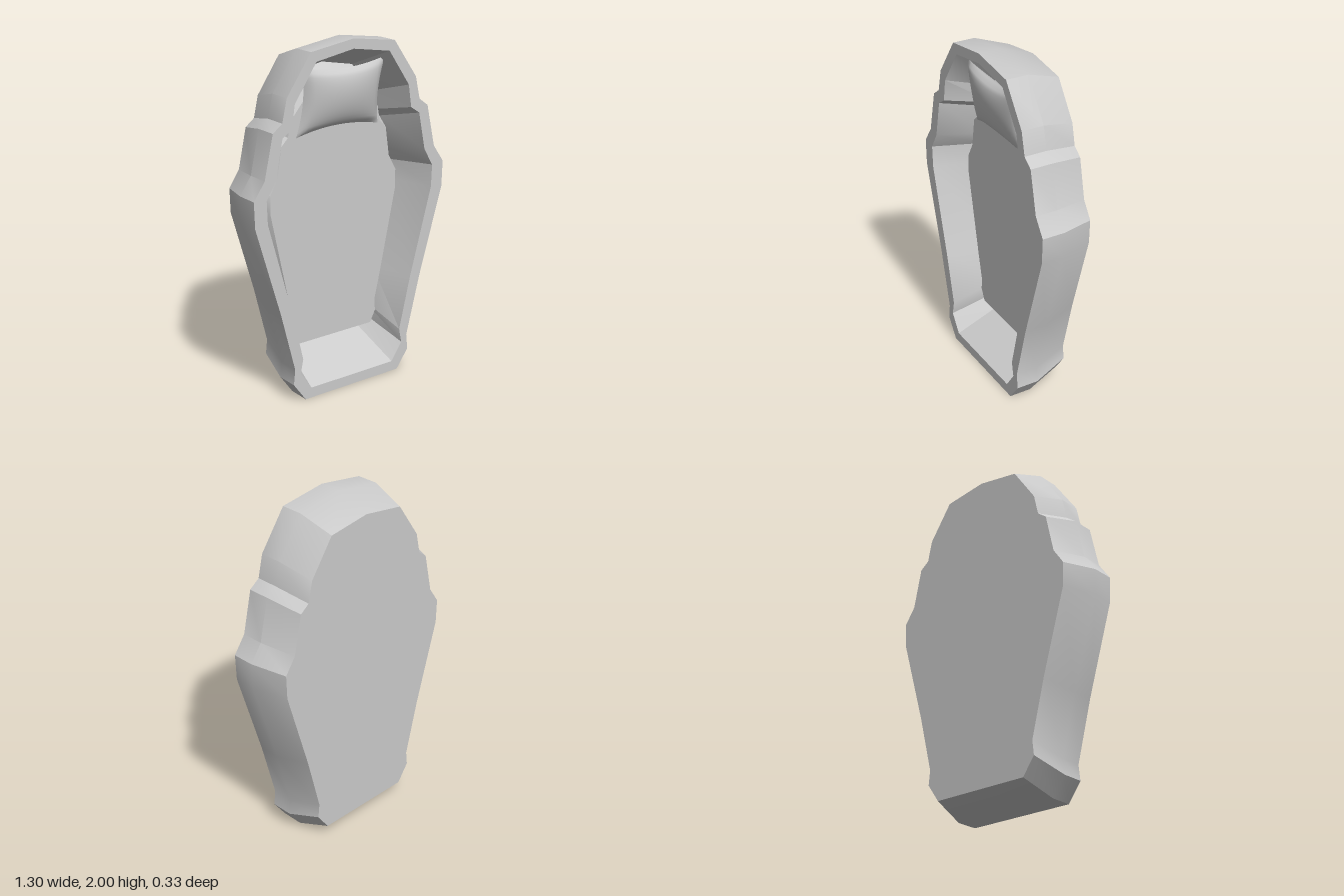
import * as THREE from 'three';
import { toCreasedNormals } from 'three/addons/utils/BufferGeometryUtils.js';

const material = new THREE.MeshStandardMaterial({ color: 0xcccccc });

// Half outlines, from the top centre down the side to the foot corner
const OUTER = [[0, 2], [0.28, 1.96], [0.435, 1.74], [0.465, 1.61], [0.525, 1.565], [0.58, 1.32],
  [0.65, 1.22], [0.645, 1.07], [0.49, 0.55], [0.4, 0.2], [0.41, 0.11], [0.33, 0]];
const RIM = [[0, 1.945], [0.245, 1.905], [0.385, 1.7], [0.405, 1.57], [0.465, 1.53], [0.51, 1.31],
  [0.57, 1.21], [0.565, 1.08], [0.42, 0.56], [0.345, 0.25], [0.362, 0.165], [0.29, 0.06]];
const VALLEY = [[0, 1.83], [0.21, 1.79], [0.345, 1.62], [0.36, 1.51], [0.41, 1.465], [0.445, 1.28],
  [0.5, 1.19], [0.5, 1.07], [0.37, 0.56], [0.305, 0.35], [0.31, 0.26], [0.26, 0.2]];
const BED = [[0, 1.74], [0.18, 1.7], [0.3, 1.56], [0.315, 1.475], [0.36, 1.43], [0.385, 1.26],
  [0.435, 1.17], [0.435, 1.06], [0.33, 0.57], [0.29, 0.4], [0.295, 0.33], [0.26, 0.26]];
const BACK = OUTER.map(([x, y]) => [x * 0.905, 0.07 + y * 0.93]);

// Mirror a half outline into a closed counter-clockwise ring at depth z
function ring(half, z) {
  const left = half.map(([x, y]) => new THREE.Vector3(-x, y, z));
  const right = half.slice(1).reverse().map(([x, y]) => new THREE.Vector3(x, y, z));
  return [...left, ...right];
}

// Skin consecutive rings, optionally capping the first (facing back) and last (facing front)
function loft(rings, capFirst, capLast, crease) {
  const pos = [];
  const tri = (...pts) => pts.forEach((p) => pos.push(p.x, p.y, p.z));
  for (let k = 0; k < rings.length - 1; k++) {
    const [lo, hi] = [rings[k], rings[k + 1]];
    lo.forEach((a, i) => {
      const j = (i + 1) % lo.length;
      tri(a, lo[j], hi[j]);
      tri(a, hi[j], hi[i]);
    });
  }
  const cap = (r, flip) => {
    const flat = r.map((p) => new THREE.Vector2(p.x, p.y));
    for (const [a, b, c] of THREE.ShapeUtils.triangulateShape(flat, [])) {
      if (flip) tri(r[a], r[c], r[b]);
      else tri(r[a], r[b], r[c]);
    }
  };
  if (capFirst) cap(rings[0], true);
  if (capLast) cap(rings[rings.length - 1], false);
  const g = new THREE.BufferGeometry();
  g.setAttribute('position', new THREE.Float32BufferAttribute(pos, 3));
  return toCreasedNormals(g, crease);
}

// One puffed side of the pillow: pinched edges, corners drawn out, leaning forward at the top
function pillowSide(side) {
  const g = new THREE.PlaneGeometry(2, 2, 20, 16);
  const p = g.attributes.position;
  for (let i = 0; i < p.count; i++) {
    const u = p.getX(i), v = p.getY(i);
    const puff = 0.065 * Math.pow((1 - u * u) * (1 - v * v), 0.5);
    const x = u * (0.255 + 0.025 * v * v);
    const y = 1.667 + v * (0.162 + 0.033 * u * u);
    p.setXYZ(i, x * side, y, 0.055 + 0.03 * v + side * puff);
  }
  g.computeVertexNormals();
  return g;
}

export function createModel() {
  const group = new THREE.Group();
  const add = (parent, name, geometry) => {
    const mesh = new THREE.Mesh(geometry, material);
    mesh.name = name;
    parent.add(mesh);
  };

  // Tapered shell with flat rim and sloping inner wall
  add(group, 'shell', loft([
    ring(BACK, -0.165), ring(OUTER, 0.035), ring(OUTER, 0.165),
    ring(RIM, 0.165), ring(VALLEY, -0.12),
  ], true, false, 0.45));

  // Raised mattress with bevelled edge
  add(group, 'mattress', loft([ring(VALLEY, -0.12), ring(BED, 0)], false, true, 0.45));

  // Pillow
  const pillow = new THREE.Group();
  pillow.name = 'pillow';
  add(pillow, 'pillowFront', pillowSide(1));
  add(pillow, 'pillowBack', pillowSide(-1));
  group.add(pillow);

  return group;
}
